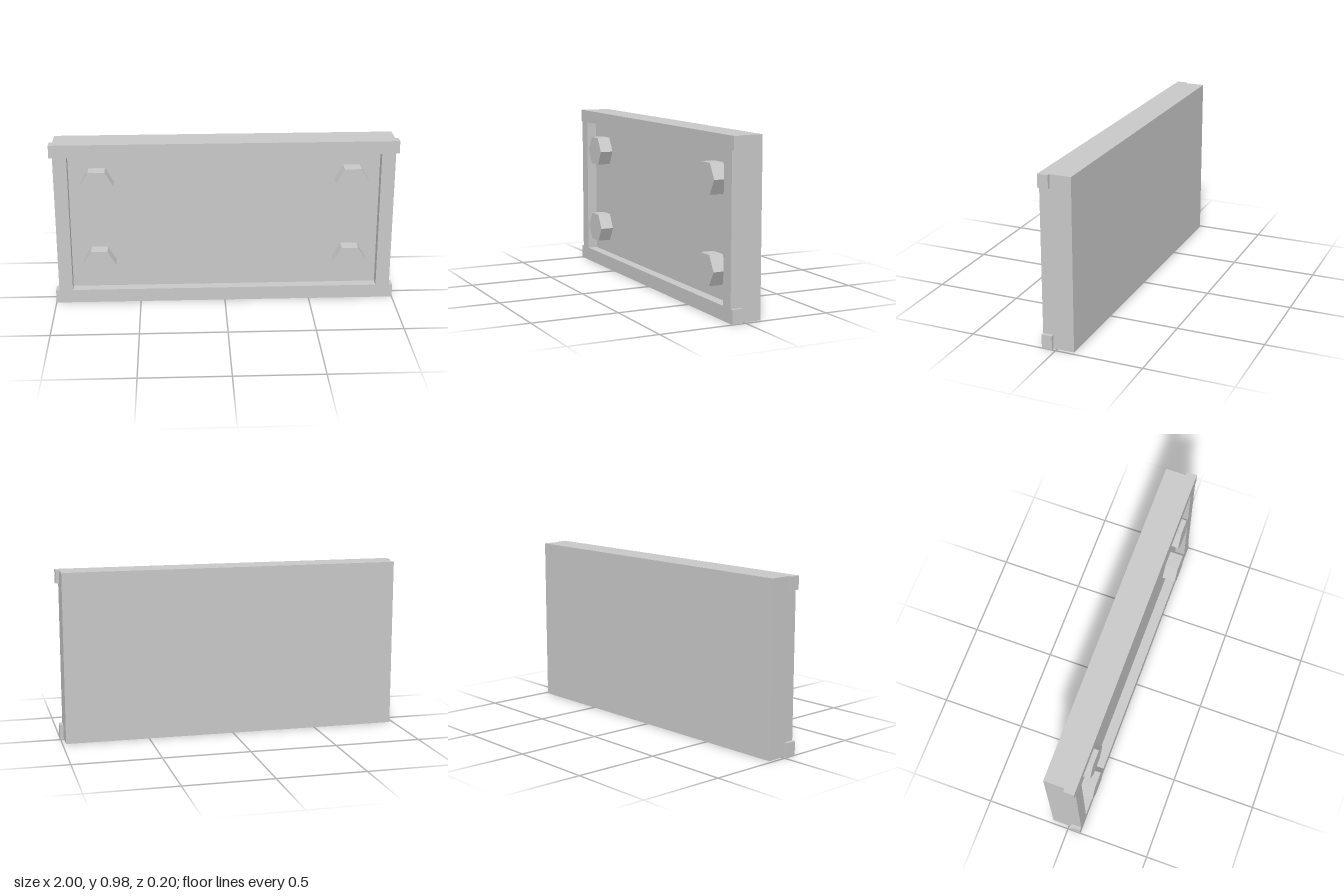
import * as THREE from 'three';

export function createModel() {
  const model = new THREE.Group();
  model.name = 'boltedPanel';
  const grey = new THREE.MeshStandardMaterial({ color: 0xc8c8c8 });
  grey.name = 'light grey';

  const H = 0.98, backZ = -0.1, recessZ = 0.02, frontZ = 0.08;
  const add = (name, geometry, x, y, z) => {
    const mesh = new THREE.Mesh(geometry, grey);
    mesh.name = name;
    mesh.position.set(x, y, z);
    model.add(mesh);
    return mesh;
  };

  // Solid slab behind the recess
  add('backSlab', new THREE.BoxGeometry(1.96, H, recessZ - backZ), 0, H / 2, (backZ + recessZ) / 2);

  // Raised border whose top and bottom rails stick out at the ends
  const lo = 0.08, hi = 0.905;
  const points = (list) => list.map(([x, y]) => new THREE.Vector2(x, y));
  const border = new THREE.Shape(points([
    [-1, 0], [1, 0], [1, lo], [0.98, lo], [0.98, hi], [1, hi],
    [1, H], [-1, H], [-1, hi], [-0.98, hi], [-0.98, lo], [-1, lo],
  ]));
  border.holes.push(new THREE.Path(points([[-0.9, lo], [-0.9, hi], [0.9, hi], [0.9, lo]])));
  add('frame', new THREE.ExtrudeGeometry(border, { depth: frontZ - recessZ, bevelEnabled: false }), 0, 0, recessZ);

  // Hexagonal bolt heads, a corner pointing sideways
  const bolt = new THREE.CylinderGeometry(0.097, 0.097, 0.08, 6).toNonIndexed();
  bolt.rotateY(Math.PI / 2).rotateX(Math.PI / 2);
  bolt.computeVertexNormals();
  for (const x of [-0.735, 0.735]) {
    for (const y of [0.247, 0.737]) add('boltHead', bolt, x, y, 0.06);
  }
  return model;
}
